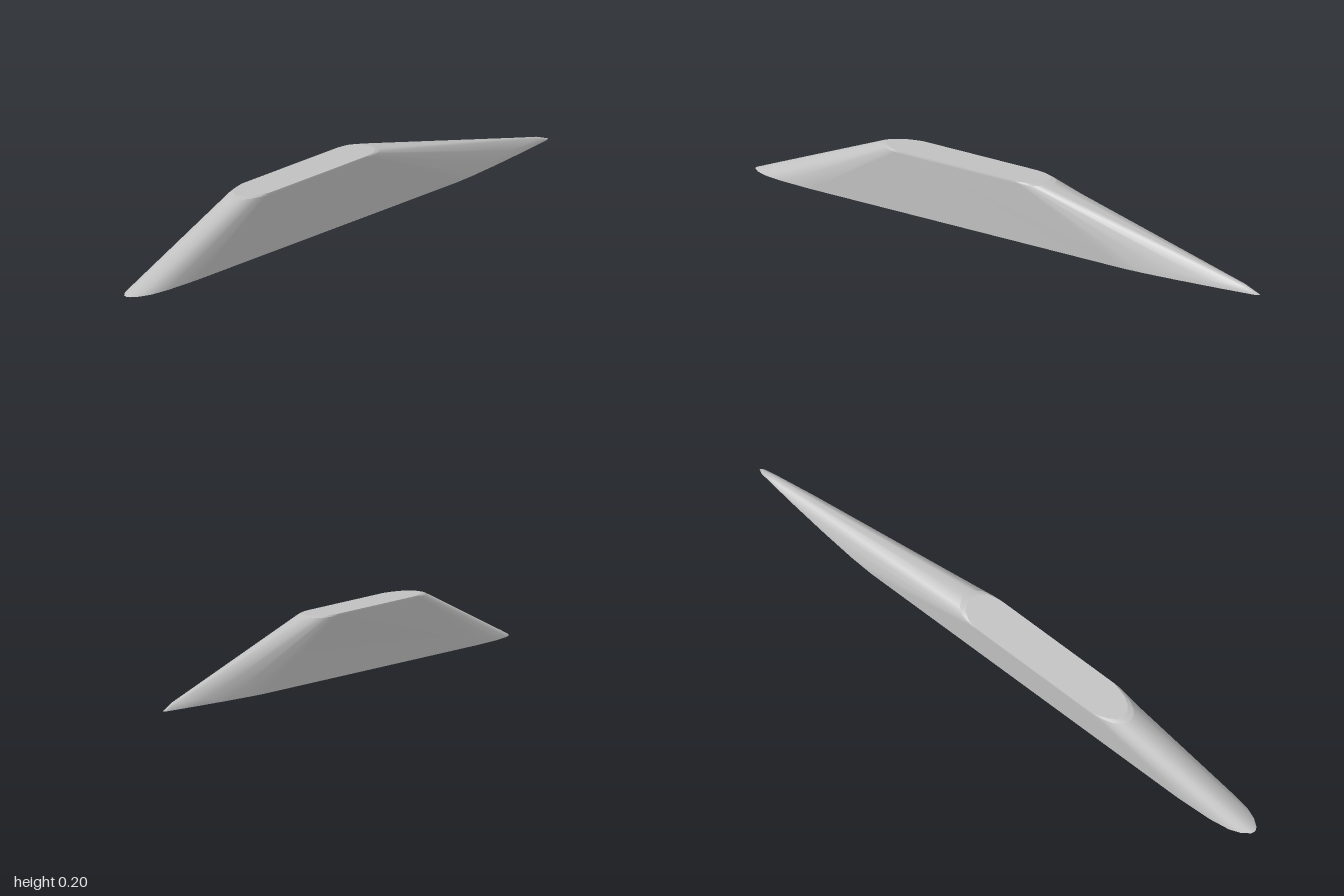
import * as THREE from 'three';

// Half outlines [x, z] from the pointed end (+x) to the blunt end (-x)
const BASE = [[1, 0], [0.985, 0.009], [0.85, 0.028], [0.7, 0.046], [0.58, 0.058], [0.5, 0.0625],
  [-0.74, 0.0625], [-0.86, 0.057], [-0.93, 0.047], [-0.97, 0.032], [-0.995, 0.013], [-1, 0]];
const CROWN = [[0.18, 0], [0.165, 0.035], [0.14, 0.052], [0.12, 0.058], [0.1, 0.061], [0.08, 0.0625],
  [-0.4, 0.0625], [-0.43, 0.056], [-0.46, 0.046], [-0.485, 0.031], [-0.498, 0.013], [-0.5, 0]];

// Mirror a half outline across z = 0 into a closed ring at height y
function ring(half, y) {
  const back = half.slice(1, -1).reverse().map(([x, z]) => [x, -z]);
  return [...half, ...back].map(([x, z]) => [x, y, z]);
}

function geometry(points, index) {
  const g = new THREE.BufferGeometry();
  g.setAttribute('position', new THREE.Float32BufferAttribute(points.flat(), 3));
  g.setIndex(index);
  g.computeVertexNormals();
  return g;
}

// Smooth wall through a stack of rings
function loft(rings) {
  const n = rings[0].length, index = [];
  for (let r = 0; r < rings.length - 1; r++) {
    for (let i = 0; i < n; i++) {
      const j = (i + 1) % n;
      const a = r * n + i, b = r * n + j, c = a + n, d = b + n;
      index.push(a, c, d, a, d, b);
    }
  }
  return geometry(rings.flat(), index);
}

// Flat lid over a ring, joining opposite points of the two mirrored sides
function cap(points, up) {
  const n = points.length, index = [];
  for (let i = 0; i < n / 2; i++) {
    const a = i, b = i + 1, c = (n - i) % n, d = n - i - 1;
    const tris = [];
    if (i > 0) tris.push([a, b, c]);
    if (b !== d) tris.push([b, d, c]);
    for (const [p, q, s] of tris) index.push(...(up ? [p, s, q] : [p, q, s]));
  }
  return geometry(points, index);
}

export function createModel() {
  const group = new THREE.Group();
  group.name = 'fin';
  const grey = new THREE.MeshStandardMaterial({ color: 0xc0c0c0 });
  grey.name = 'light grey';
  const add = (name, geo) => {
    const mesh = new THREE.Mesh(geo, grey);
    mesh.name = name;
    group.add(mesh);
  };

  // Slightly fuller section just above the base, giving the tip a small chamfer
  const low = BASE.map(([x, z], i) => [
    x + (CROWN[i][0] - x) * 0.1 + 0.027 * Math.max(0, (x - 0.5) / 0.5),
    z + (CROWN[i][1] - z) * 0.1,
  ]);
  // Inset edge of the flat top
  const inset = CROWN.map(([x, z]) => [(x + 0.16) * 0.93 - 0.16, z * 0.985]);

  const bottom = ring(BASE, 0), shoulder = ring(CROWN, 0.198), top = ring(inset, 0.203);
  add('sideWall', loft([bottom, ring(low, 0.02), shoulder]));
  add('topBevel', loft([shoulder, top]));
  add('topFace', cap(top, true));
  add('bottomFace', cap(bottom, false));
  return group;
}
